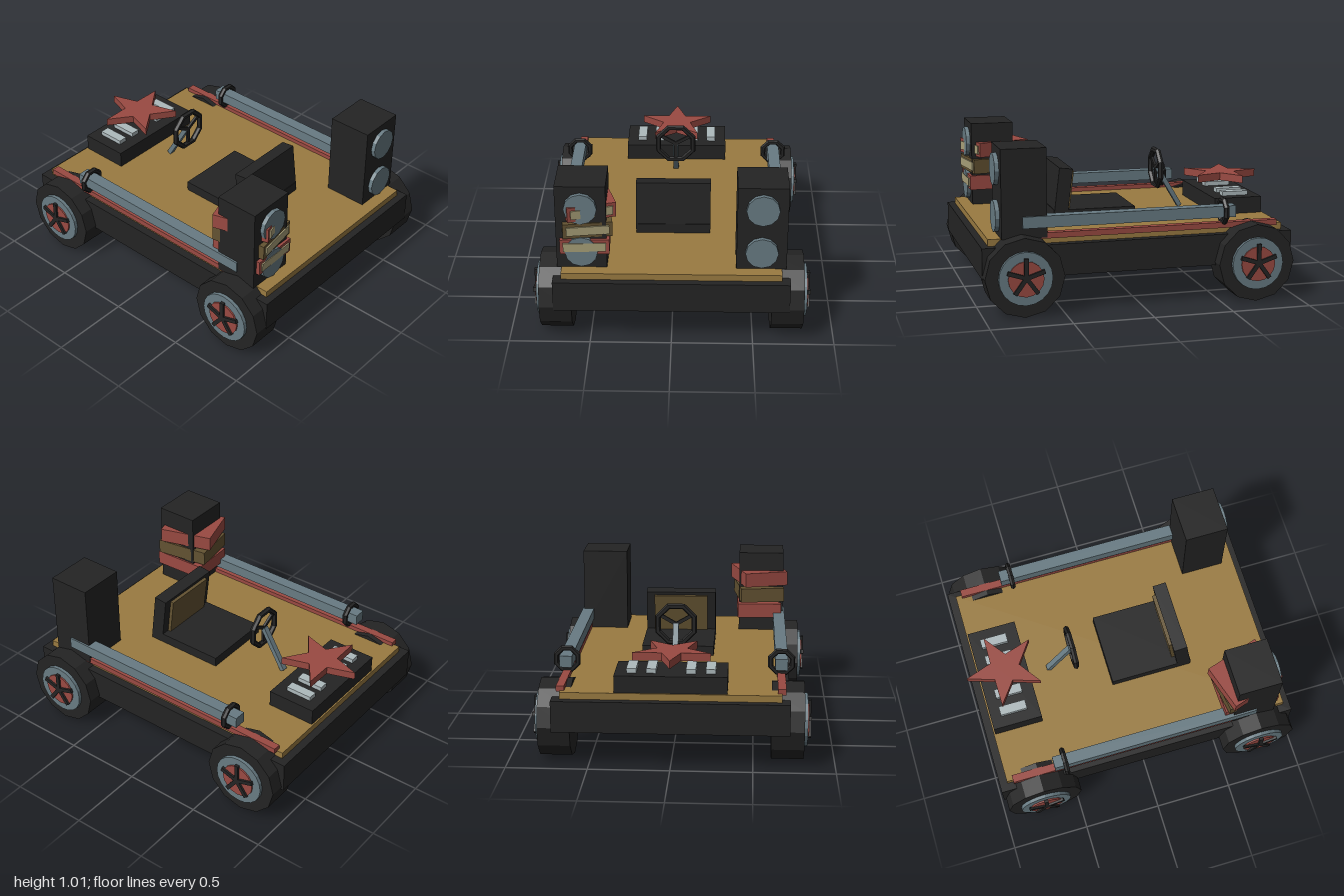
import * as THREE from 'three';

export function createModel() {
  const model = new THREE.Group();
  model.name = 'openCart';

  const paint = (name, color) => {
    const m = new THREE.MeshStandardMaterial({ color, flatShading: true });
    m.name = name;
    return m;
  };
  const black = paint('black', 0x242424);
  const wood = paint('wood', 0x9a7b41);
  const red = paint('red', 0x9a4a42);
  const blue = paint('steelBlue', 0x687b83);
  const grey = paint('lightGrey', 0xaebabd);
  const brown = paint('brown', 0x645332);
  const cream = paint('cream', 0xa89f78);

  const add = (name, geo, mat, x, y, z, parent = model) => {
    const mesh = new THREE.Mesh(geo, mat);
    mesh.name = name;
    mesh.position.set(x, y, z);
    parent.add(mesh);
    return mesh;
  };
  // Box given by its lower and upper corners
  const block = (name, mat, [x0, y0, z0], [x1, y1, z1], parent) =>
    add(name, new THREE.BoxGeometry(x1 - x0, y1 - y0, z1 - z0), mat,
      (x0 + x1) / 2, (y0 + y1) / 2, (z0 + z1) / 2, parent);
  // Disc with its axis along x, from x0 to x1
  const axle = (name, mat, r, x0, x1, sides, parent) =>
    add(name, new THREE.CylinderGeometry(r, r, x1 - x0, sides).rotateZ(Math.PI / 2),
      mat, (x0 + x1) / 2, 0, 0, parent);

  // Chassis and deck
  block('chassis', black, [-0.72, 0.225, -0.98], [0.72, 0.42, 0.995]);
  block('deck', wood, [-0.67, 0.42, -0.93], [0.67, 0.462, 0.95]);

  // Wheels: tyre, rim, hub and five spokes
  for (const side of [1, -1]) {
    for (const z of [0.75, -0.72]) {
      const wheel = new THREE.Group();
      wheel.name = 'wheel';
      wheel.position.set(0, 0.245, z);
      if (side < 0) wheel.rotation.y = Math.PI;
      axle('tyre', black, 0.245, 0.61, 0.808, 12, wheel);
      axle('rim', blue, 0.165, 0.79, 0.83, 20, wheel);
      axle('hub', red, 0.11, 0.8, 0.84, 16, wheel);
      for (let i = 0; i < 5; i++) {
        const spoke = new THREE.BoxGeometry(0.018, 0.12, 0.026).translate(0, 0.06, 0)
          .rotateX((i * Math.PI * 2) / 5);
        add('wheelSpoke', spoke, black, 0.844, 0.008, 0, wheel);
      }
      model.add(wheel);
    }

    // Side rail with its end ring and the red sill beneath
    const cx = side * 0.67;
    add('sideRail', new THREE.BoxGeometry(0.078, 0.072, 1.355), blue, cx, 0.56, 0.065);
    add('sideSill', new THREE.BoxGeometry(0.05, 0.036, 1.6), red, cx, 0.472, -0.09);
    add('railRing', new THREE.TorusGeometry(0.073, 0.018, 6, 8).rotateZ(Math.PI / 8),
      black, cx, 0.56, -0.54);

    // Speaker with two cones
    add('speakerCabinet', new THREE.BoxGeometry(0.305, 0.55, 0.28), black, side * 0.545, 0.736, 0.73);
    for (const y of [0.87, 0.58]) {
      add('speakerCone', new THREE.CylinderGeometry(0.1, 0.1, 0.04, 12).rotateX(Math.PI / 2),
        blue, side * 0.545, y, 0.876);
    }
  }

  // Stack of twisted books with pages on the front edge
  const books = [
    [red, 0.612, 0.71, 0.03],
    [brown, 0.723, 0.705, 0.15],
    [red, 0.837, 0.695, 0.3],
  ];
  for (const [cover, y, z, turn] of books) {
    const book = new THREE.Group();
    book.name = 'book';
    book.position.set(-0.53, y, z);
    book.rotation.y = turn;
    add('bookCover', new THREE.BoxGeometry(0.3, 0.096, 0.36), cover, 0, 0, 0, book);
    add('bookPages', new THREE.BoxGeometry(0.26, 0.056, 0.009), cream, 0, 0, 0.184, book);
    model.add(book);
  }

  // Seat with a slightly tilted back and cushion panel
  block('seatBase', black, [-0.235, 0.46, -0.09], [0.235, 0.525, 0.445]);
  const back = new THREE.Group();
  back.name = 'seatBack';
  back.position.set(0, 0.5, 0.4);
  back.rotation.x = -0.12;
  add('backFrame', new THREE.BoxGeometry(0.47, 0.3, 0.088), black, 0, 0.145, 0, back);
  add('backCushion', new THREE.BoxGeometry(0.36, 0.25, 0.024), brown, 0, 0.15, -0.054, back);
  model.add(back);

  // Steering wheel and column
  const wheelY = 0.73;
  add('steeringWheel', new THREE.TorusGeometry(0.125, 0.019, 6, 8).rotateZ(Math.PI / 8),
    black, 0, wheelY, -0.3);
  for (let i = 0; i < 3; i++) {
    const arm = new THREE.BoxGeometry(0.022, 0.12, 0.016).translate(0, 0.06, 0)
      .rotateZ(Math.PI + (i * Math.PI * 2) / 3);
    add('steeringSpoke', arm, black, 0, wheelY, -0.3);
  }
  const column = add('steeringColumn', new THREE.BoxGeometry(0.036, 0.31, 0.03), blue, 0, 0.6, -0.385);
  column.rotation.x = Math.atan2(0.155, 0.26);

  // Rear engine box with four vents
  block('engineBox', black, [-0.342, 0.46, -0.92], [0.342, 0.568, -0.6]);
  for (const x of [-0.24, -0.12, 0.12, 0.24]) {
    add('engineVent', new THREE.BoxGeometry(0.06, 0.03, 0.175), grey, x, 0.581, -0.765);
  }

  // Star ornament above the engine, one point to the rear
  const star = new THREE.Shape();
  for (let i = 0; i < 10; i++) {
    const r = i % 2 ? 0.098 : 0.25;
    const a = Math.PI / 2 + (i * Math.PI) / 5;
    star[i ? 'lineTo' : 'moveTo'](r * Math.cos(a), r * Math.sin(a));
  }
  star.closePath();
  const starGeo = new THREE.ExtrudeGeometry(star, { depth: 0.05, bevelEnabled: false })
    .rotateX(-Math.PI / 2);
  add('star', starGeo, red, 0, 0.64, -0.75);

  return model;
}
